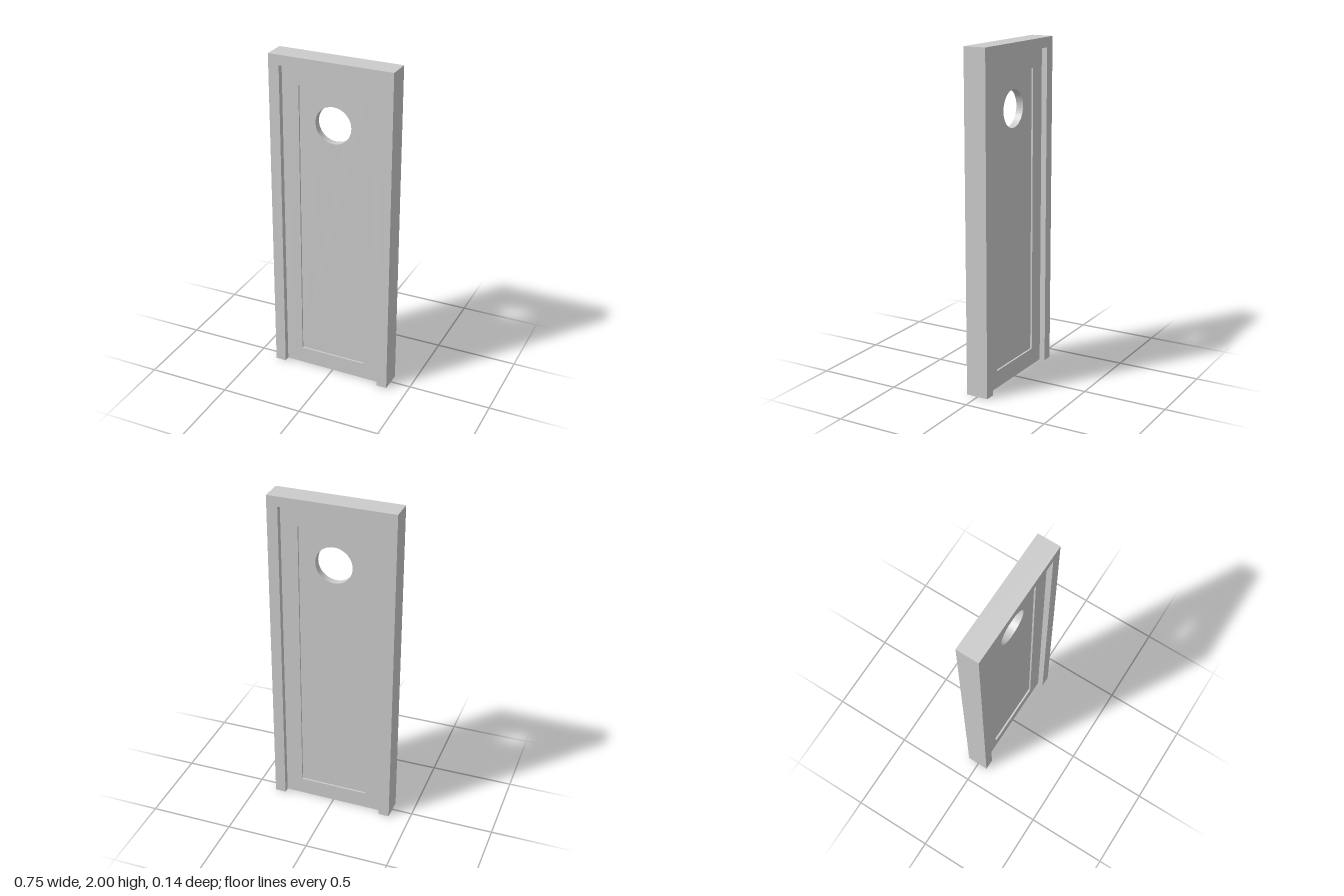
import * as THREE from 'three';

const material = new THREE.MeshStandardMaterial({ color: 0xcccccc });

// Closed outline from corner pairs
function outline(points, Type = THREE.Shape) {
  return new Type(points.map(([x, y]) => new THREE.Vector2(x, y)));
}

function rect(halfWidth, bottom, top, Type) {
  return outline([[-halfWidth, bottom], [halfWidth, bottom], [halfWidth, top], [-halfWidth, top]], Type);
}

// Flat slab centred on z = 0
function slab(name, shape, depth) {
  const geometry = new THREE.ExtrudeGeometry(shape, { depth, bevelEnabled: false, curveSegments: 24 });
  geometry.translate(0, 0, -depth / 2);
  const mesh = new THREE.Mesh(geometry, material);
  mesh.name = name;
  return mesh;
}

export function createModel() {
  const model = new THREE.Group();
  model.name = 'door';

  // Jambs and head, open at the floor
  const w = 0.375, inner = 0.31, head = 1.94;
  model.add(slab('doorFrame', outline([
    [-w, 0], [-inner, 0], [-inner, head], [inner, head],
    [inner, 0], [w, 0], [w, 2], [-w, 2],
  ]), 0.136));

  // Door leaf: stiles and rails around a sunken panel
  const leaf = new THREE.Group();
  leaf.name = 'doorLeaf';
  const border = rect(inner, 0, head);
  border.holes.push(rect(0.208, 0.105, 1.83, THREE.Path));
  leaf.add(slab('stilesAndRails', border, 0.066));

  // Panel with a round window opening
  const panel = rect(0.208, 0.105, 1.83);
  panel.holes.push(new THREE.Path().absarc(0, 1.62, 0.11, 0, Math.PI * 2, true));
  leaf.add(slab('panel', panel, 0.044));
  model.add(leaf);

  // The whole door stands very slightly turned
  model.rotation.y = -0.0104;
  const root = new THREE.Group();
  root.add(model);
  return root;
}
